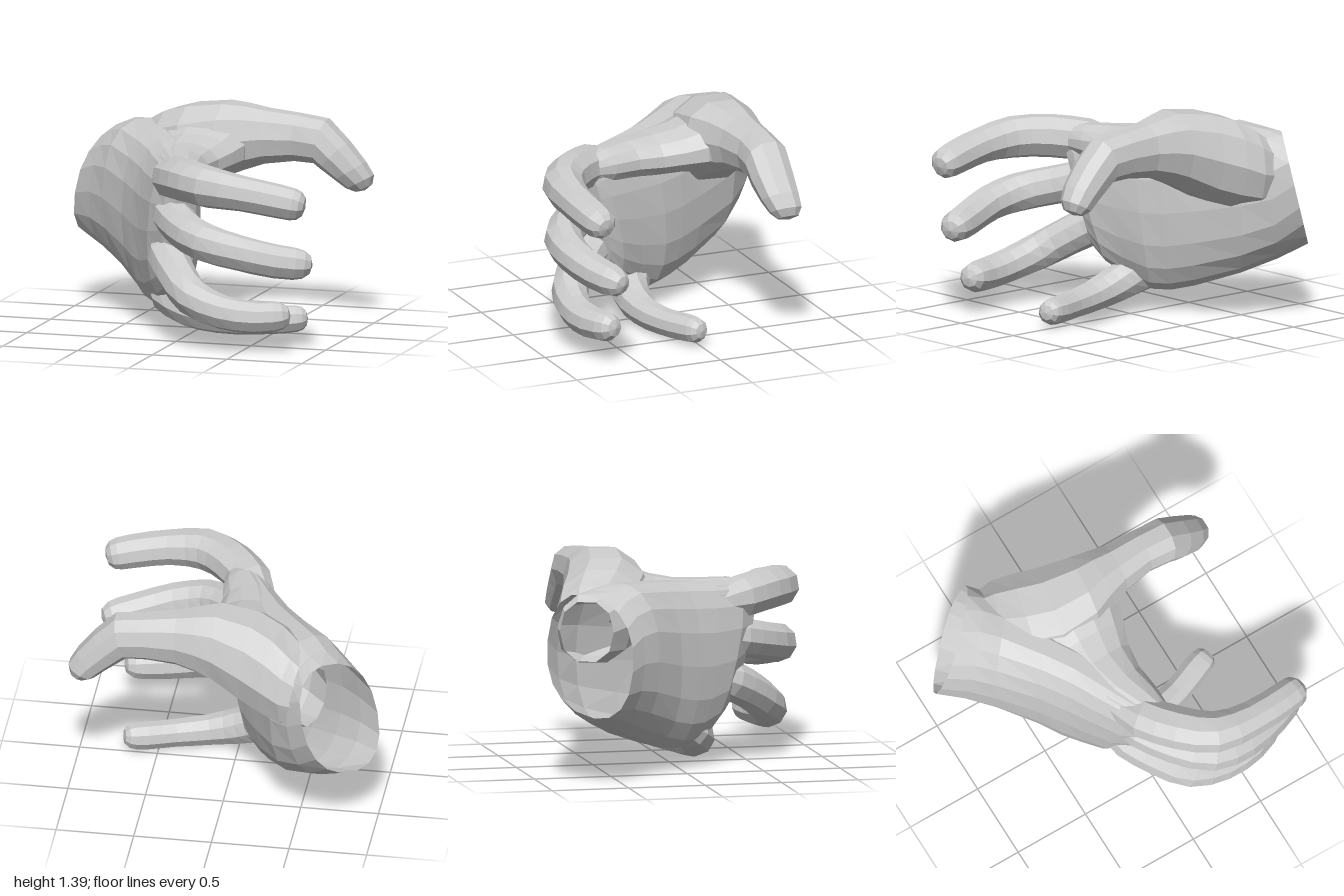
import * as THREE from 'three';

const material = new THREE.MeshStandardMaterial({
  color: 0xcccccc, flatShading: true, side: THREE.DoubleSide,
});
const V = (p) => new THREE.Vector3(...p);

// Skins a row of cross-sections { c: centre, u: half height, v: half width }.
// power < 1 makes the outline boxier; tip closes the far end.
function loft(name, sections, { sides = 10, power = 1, tip = null } = {}) {
  const pos = [], index = [];
  const shape = (t) => Math.sign(t) * Math.abs(t) ** power;
  for (const { c, u, v } of sections) {
    for (let j = 0; j < sides; j++) {
      const a = ((j + 0.5) / sides) * Math.PI * 2;
      const p = c.clone().addScaledVector(u, shape(Math.cos(a))).addScaledVector(v, shape(Math.sin(a)));
      pos.push(p.x, p.y, p.z);
    }
  }
  for (let i = 0; i < sections.length - 1; i++) {
    for (let j = 0; j < sides; j++) {
      const k = (j + 1) % sides;
      const a = i * sides + j, b = i * sides + k, d = a + sides, e = b + sides;
      index.push(a, d, b, b, d, e);
    }
  }
  if (tip) {
    pos.push(tip.x, tip.y, tip.z);
    const base = (sections.length - 1) * sides;
    for (let j = 0; j < sides; j++) {
      index.push(base + j, sections.length * sides, base + ((j + 1) % sides));
    }
  }
  const geo = new THREE.BufferGeometry();
  geo.setAttribute('position', new THREE.Float32BufferAttribute(pos, 3));
  geo.setIndex(index);
  geo.computeVertexNormals();
  const mesh = new THREE.Mesh(geo, material);
  mesh.name = name;
  return mesh;
}

const rows = (list) => list.map(([c, u, v]) => ({ c: V(c), u: V(u), v: V(v) }));

// Rounded finger along a curve; each point is [x, y, z, radius].
function finger(name, points) {
  const curve = new THREE.CatmullRomCurve3(points.map((p) => V(p)));
  const last = points.length - 1, steps = last * 2;
  const sections = [];
  const ring = (t, scale) => {
    const f = t * last, i = Math.min(Math.floor(f), last - 1);
    const r = THREE.MathUtils.lerp(points[i][3], points[i + 1][3], f - i) * scale;
    const d = curve.getTangent(t);
    const u = new THREE.Vector3(0, 1, 0).addScaledVector(d, -d.y).normalize();
    const v = u.clone().cross(d);
    sections.push({ c: curve.getPoint(t), u: u.multiplyScalar(r), v: v.multiplyScalar(r) });
  };
  for (let s = 0; s < steps; s++) ring(s / steps, 1);
  ring(1 - 0.25 / last, 0.9); // rounded fingertip
  ring(1 - 0.07 / last, 0.6);
  return loft(name, sections, { sides: 9, tip: curve.getPoint(1) });
}

export function createModel() {
  const hand = new THREE.Group();
  hand.name = 'hand';

  // Palm, open at the wrist
  hand.add(loft('palm', rows([
    [[-0.78, 0.82, -0.7], [0.07, 0.37, 0.05], [0.21, 0.08, -0.23]],
    [[-0.66, 0.79, -0.6], [0.04, 0.43, 0.02], [0.2, 0.02, -0.24]],
    [[-0.53, 0.76, -0.46], [0, 0.49, 0], [0.2, 0, -0.23]],
    [[-0.36, 0.7, -0.22], [0, 0.53, 0], [0.18, 0, -0.18]],
    [[-0.26, 0.67, -0.06], [0.02, 0.54, 0.02], [0.17, 0, -0.165]],
    [[-0.18, 0.66, 0.08], [0.03, 0.53, 0.06], [0.16, 0, -0.15]],
    [[-0.09, 0.68, 0.27], [0.06, 0.49, 0.12], [0.14, 0, -0.12]],
    [[0, 0.71, 0.4], [0.05, 0.42, 0.12], [0.105, 0, -0.085]],
    [[0.04, 0.73, 0.45], [0.04, 0.34, 0.09], [0.06, 0, -0.05]],
  ]), { sides: 18, power: 0.86, tip: V([0.05, 0.73, 0.46]) }));

  // Thumb with its fleshy base, bent down at the last joint
  hand.add(loft('thumb', rows([
    [[-0.6, 0.95, -0.68], [0, 0.2, 0], [0.07, 0, -0.16]],
    [[-0.48, 0.98, -0.61], [-0.01, 0.26, 0], [0.08, 0, -0.24]],
    [[-0.34, 1.03, -0.53], [-0.02, 0.29, 0], [0.06, 0, -0.28]],
    [[-0.18, 1.08, -0.46], [-0.02, 0.29, 0], [0.04, 0, -0.29]],
    [[0.04, 1.15, -0.43], [0, 0.25, 0], [0.02, 0, -0.25]],
    [[0.17, 1.17, -0.45], [0, 0.215, 0], [0, 0, -0.2]],
    [[0.3, 1.18, -0.46], [0, 0.18, 0], [0, 0, -0.16]],
    [[0.5, 1.18, -0.475], [0.01, 0.155, 0], [0, 0, -0.14]],
    [[0.66, 1.165, -0.47], [0.04, 0.145, 0], [0, 0, -0.145]],
    [[0.75, 1.08, -0.47], [0.09, 0.09, 0], [0, 0, -0.14]],
    [[0.85, 0.98, -0.48], [0.095, 0.06, 0], [0, 0, -0.125]],
    [[0.91, 0.91, -0.495], [0.085, 0.045, 0], [0, 0, -0.105]],
    [[0.935, 0.87, -0.5], [0.05, 0.025, 0], [0, 0, -0.07]],
  ]), { sides: 10, power: 0.9, tip: V([0.94, 0.855, -0.5]) }));

  // Skin web between thumb and forefinger
  hand.add(loft('thumbWeb', rows([
    [[-0.1, 1.12, -0.45], [0, 0.2, 0], [0.28, 0, 0]],
    [[-0.08, 1.1, -0.27], [0, 0.18, 0], [0.3, 0, 0]],
    [[-0.09, 1.08, -0.14], [0, 0.15, 0], [0.27, 0, 0]],
    [[-0.1, 1.06, 0.02], [0, 0.14, 0], [0.23, 0, -0.02]],
    [[-0.06, 1.06, 0.22], [0, 0.13, 0], [0.17, 0, -0.06]],
    [[0.01, 1.06, 0.4], [0, 0.12, 0], [0.12, 0, -0.07]],
    [[0.06, 1.06, 0.5], [0, 0.09, 0], [0.07, 0, -0.05]],
  ]), { sides: 12 }));

  // Four fingers, reaching forward and curling toward the thumb side
  hand.add(finger('indexFinger', [
    [-0.18, 1.02, 0.19, 0.07], [-0.04, 1.05, 0.45, 0.14], [0.11, 1.07, 0.64, 0.14],
    [0.3, 1.065, 0.785, 0.135], [0.54, 1.04, 0.815, 0.115], [0.78, 1.0, 0.795, 0.11],
    [0.95, 0.965, 0.765, 0.1],
  ]));
  hand.add(finger('middleFinger', [
    [-0.18, 0.84, 0.21, 0.07], [-0.05, 0.8, 0.43, 0.13], [0.09, 0.75, 0.62, 0.125],
    [0.28, 0.7, 0.775, 0.125], [0.5, 0.655, 0.8, 0.115], [0.74, 0.6, 0.74, 0.11],
    [0.96, 0.57, 0.65, 0.1],
  ]));
  hand.add(finger('ringFinger', [
    [-0.21, 0.62, 0.14, 0.07], [-0.1, 0.53, 0.37, 0.13], [0.02, 0.43, 0.54, 0.125],
    [0.17, 0.32, 0.68, 0.12], [0.38, 0.25, 0.735, 0.11], [0.6, 0.225, 0.715, 0.105],
    [0.81, 0.24, 0.64, 0.095],
  ]));
  hand.add(finger('littleFinger', [
    [-0.3, 0.35, -0.05, 0.07], [-0.18, 0.23, 0.1, 0.125], [-0.02, 0.155, 0.17, 0.12],
    [0.18, 0.105, 0.17, 0.1], [0.4, 0.09, 0.12, 0.09], [0.58, 0.095, 0.05, 0.09],
    [0.72, 0.105, 0, 0.08],
  ]));

  return hand;
}
